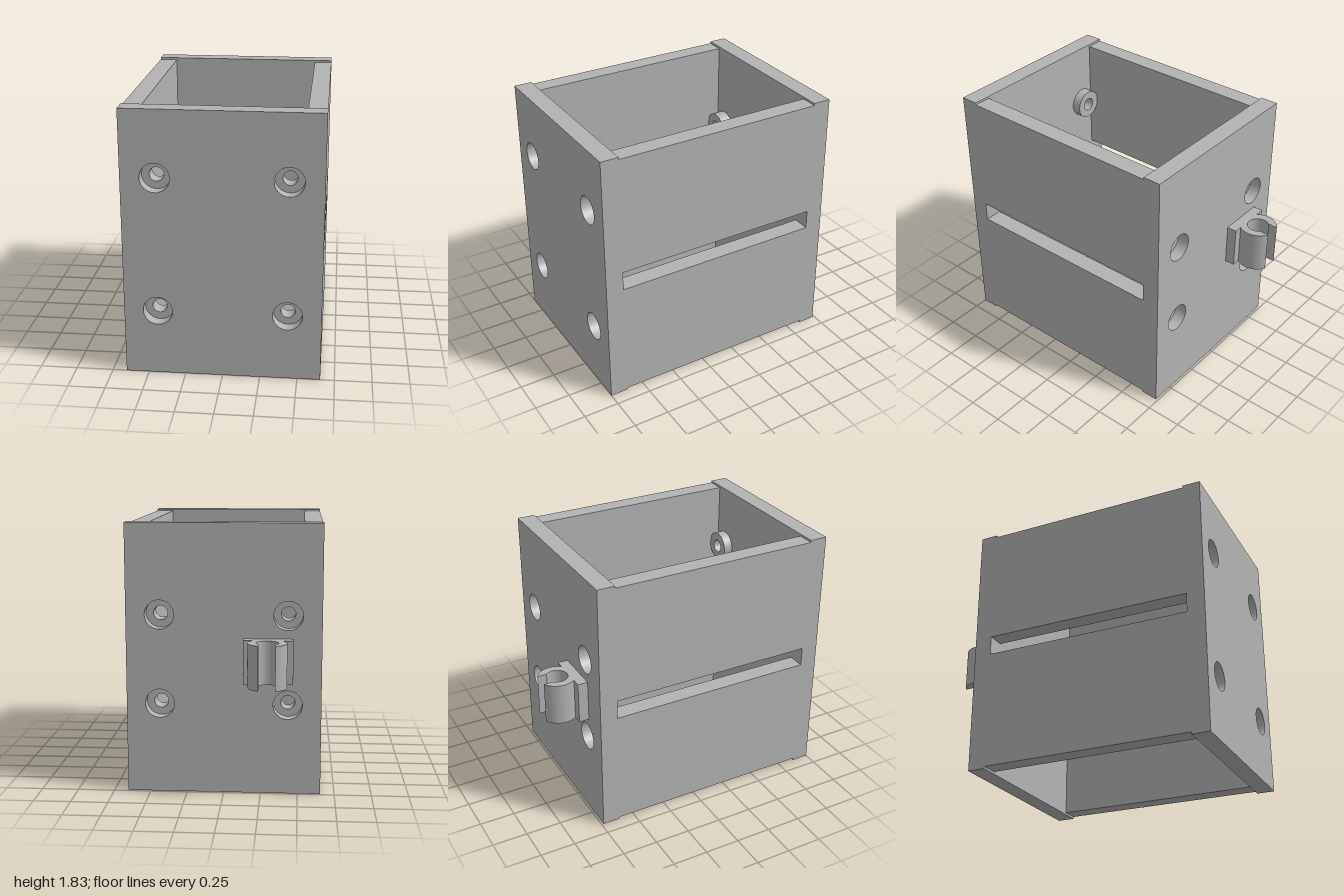
import * as THREE from 'three';
import { toCreasedNormals } from 'three/addons/utils/BufferGeometryUtils.js';

const W = 0.655, H = 1.83, T = 0.125;      // half width, height, wall thickness
const FRONT = 1, BACK = -0.735;            // outer faces of the end panels
const RECESS = 0.098, BORE = 0.048, BOSS = 0.105, DEPTH = 0.085;

export function createModel() {
  const model = new THREE.Group();
  model.name = 'bracketBox';
  const grey = new THREE.MeshStandardMaterial({ color: 0xb3b3b3 });
  grey.name = 'grey';

  const add = (name, geometry, parent = model) => {
    const mesh = new THREE.Mesh(toCreasedNormals(geometry, 0.6), grey);
    mesh.name = name;
    parent.add(mesh);
    return mesh;
  };
  const block = (name, x0, x1, y0, y1, z0, z1, parent) =>
    add(name, new THREE.BoxGeometry(x1 - x0, y1 - y0, z1 - z0), parent)
      .position.set((x0 + x1) / 2, (y0 + y1) / 2, (z0 + z1) / 2);

  // End panel with four counterbored screw bosses pointing inwards
  const endPanel = (name, outerZ, inward, heights, bossLength) => {
    const group = new THREE.Group();
    group.name = name;
    model.add(group);
    const shape = new THREE.Shape([[-W, 0], [W, 0], [W, H], [-W, H]].map(p => new THREE.Vector2(...p)));
    const end = T + bossLength;
    const profile = [[BORE, DEPTH], [RECESS, DEPTH], [RECESS, T], [BOSS, T], [BOSS, end], [BORE, end], [BORE, DEPTH]]
      .map(p => new THREE.Vector2(...p));
    for (const x of [-0.43, 0.43]) {
      for (const y of heights) {
        shape.holes.push(new THREE.Path().absarc(x, y, RECESS, 0, Math.PI * 2, true));
        const boss = add('screwBoss', new THREE.LatheGeometry(profile, 48), group);
        boss.rotation.x = inward * Math.PI / 2;
        boss.position.set(x, y, outerZ);
      }
    }
    const plate = new THREE.ExtrudeGeometry(shape, { depth: T, bevelEnabled: false, curveSegments: 24 });
    add(name + 'Plate', plate, group).position.z = inward > 0 ? outerZ : outerZ - T;
  };
  endPanel('frontPanel', FRONT, -1, [0.455, 1.38], 0.067);
  endPanel('backPanel', BACK, 1, [0.615, 1.22], 0.085);

  // Side walls, each split by a full-length slot
  for (const [side, x0] of [['left', W - T], ['right', -W]]) {
    block(side + 'WallLower', x0, x0 + T, 0.015, 0.85, BACK + T, FRONT - T);
    block(side + 'WallUpper', x0, x0 + T, 0.985, H - 0.015, BACK + T, FRONT - T);
  }

  // Tube clip on the back: mounting plate and open ring
  const clip = new THREE.Group();
  clip.name = 'tubeClip';
  model.add(clip);
  const y0 = 0.77, y1 = 1.065;
  block('clipPlate', -0.465, -0.135, y0, y1, -0.805, BACK, clip);
  const R = 0.13, r = 0.075, gap = 0.055;
  const a = Math.acos(gap / R), b = Math.acos(gap / r);
  const ring = new THREE.Shape();
  ring.absarc(0, 0, R, Math.PI - a, Math.PI * 2 + a, false);
  ring.absarc(0, 0, r, Math.PI * 2 + b, Math.PI - b, true);
  ring.closePath();
  const ringGeometry = new THREE.ExtrudeGeometry(ring, { depth: y1 - y0, bevelEnabled: false, curveSegments: 40 });
  ringGeometry.rotateX(-Math.PI / 2);      // opening faces -z
  add('clipRing', ringGeometry, clip).position.set(-0.296, y0, -0.884);

  return model;
}
